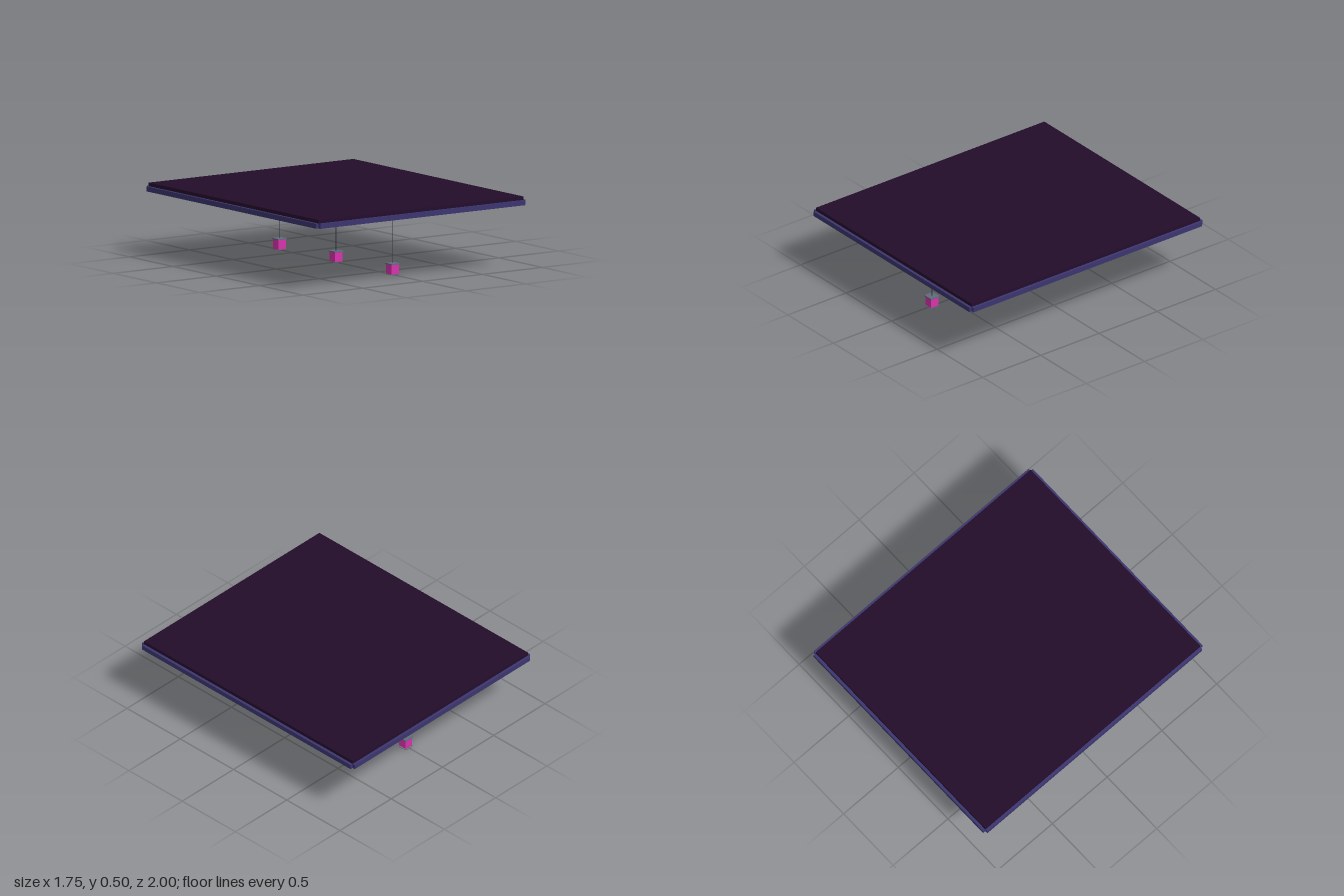
import * as THREE from 'three';

const mat = (name, color) => {
  const m = new THREE.MeshStandardMaterial({ color });
  m.name = name;
  return m;
};

export function createModel() {
  const plum = mat('dark plum', 0x230d2b);
  const indigo = mat('indigo beam', 0x3b356e);
  const pink = mat('neon pink', 0xd832ac);
  const teal = mat('neon teal', 0x1fc0bc);
  const metal = mat('grey metal', 0x5f6c7a);
  const dark = mat('dark cord', 0x34344a);

  const model = new THREE.Group();
  const add = (parent, name, geometry, material, x, y, z) => {
    const mesh = new THREE.Mesh(geometry, material);
    mesh.name = name;
    mesh.position.set(x, y, z);
    parent.add(mesh);
    return mesh;
  };
  const box = (parent, name, w, h, d, material, x, y, z) =>
    add(parent, name, new THREE.BoxGeometry(w, h, d), material, x, y, z);

  const W = 1.71, D = 1.96;          // slab size
  const cellX = W / 3, cellZ = D / 3; // coffer size

  // Ceiling slab
  box(model, 'ceilingSlab', W, 0.028, D, plum, 0, 0.484, 0);

  // Grid of beams, four each way, making nine coffers
  for (let i = 0; i < 4; i++) {
    box(model, 'beamAcross', W, 0.034, 0.04, indigo, 0, 0.457, (i - 1.5) * cellZ);
    box(model, 'beamAlong', 0.04, 0.034, D, indigo, (i - 1.5) * cellX, 0.457, 0);
  }

  // Light grilles in the middle coffer of each side
  for (const side of [-1, 1]) {
    const grille = new THREE.Group();
    grille.name = 'lightGrille';
    grille.position.set(side * cellX, 0.466, 0);
    model.add(grille);
    for (let i = 0; i < 7; i++) {
      box(grille, 'lightStrip', 0.01, 0.009, 0.36, i % 2 ? teal : pink, (i - 3) * 0.065, 0, 0);
    }
  }

  // Three hanging lanterns along the centre line
  for (const k of [-1, 0, 1]) {
    const lantern = new THREE.Group();
    lantern.name = 'lantern';
    lantern.position.z = k * cellZ;
    model.add(lantern);
    add(lantern, 'ceilingMount', new THREE.CylinderGeometry(0.022, 0.022, 0.02, 12), metal, 0, 0.461, 0);
    add(lantern, 'cord', new THREE.CylinderGeometry(0.0025, 0.0025, 0.38, 6), dark, 0, 0.265, 0);
    box(lantern, 'lanternCap', 0.072, 0.008, 0.072, metal, 0, 0.076, 0);
    box(lantern, 'lanternBody', 0.062, 0.066, 0.062, pink, 0, 0.04, 0);
    const ring = add(lantern, 'lanternRing', new THREE.TorusGeometry(0.044, 0.002, 6, 24), metal, 0, 0.006, 0);
    ring.rotation.x = Math.PI / 2;
    // Stub under the body
    add(lantern, 'lanternFoot', new THREE.CylinderGeometry(0.012, 0.008, 0.008, 8), metal, 0, 0.004, 0);
  }

  return model;
}
